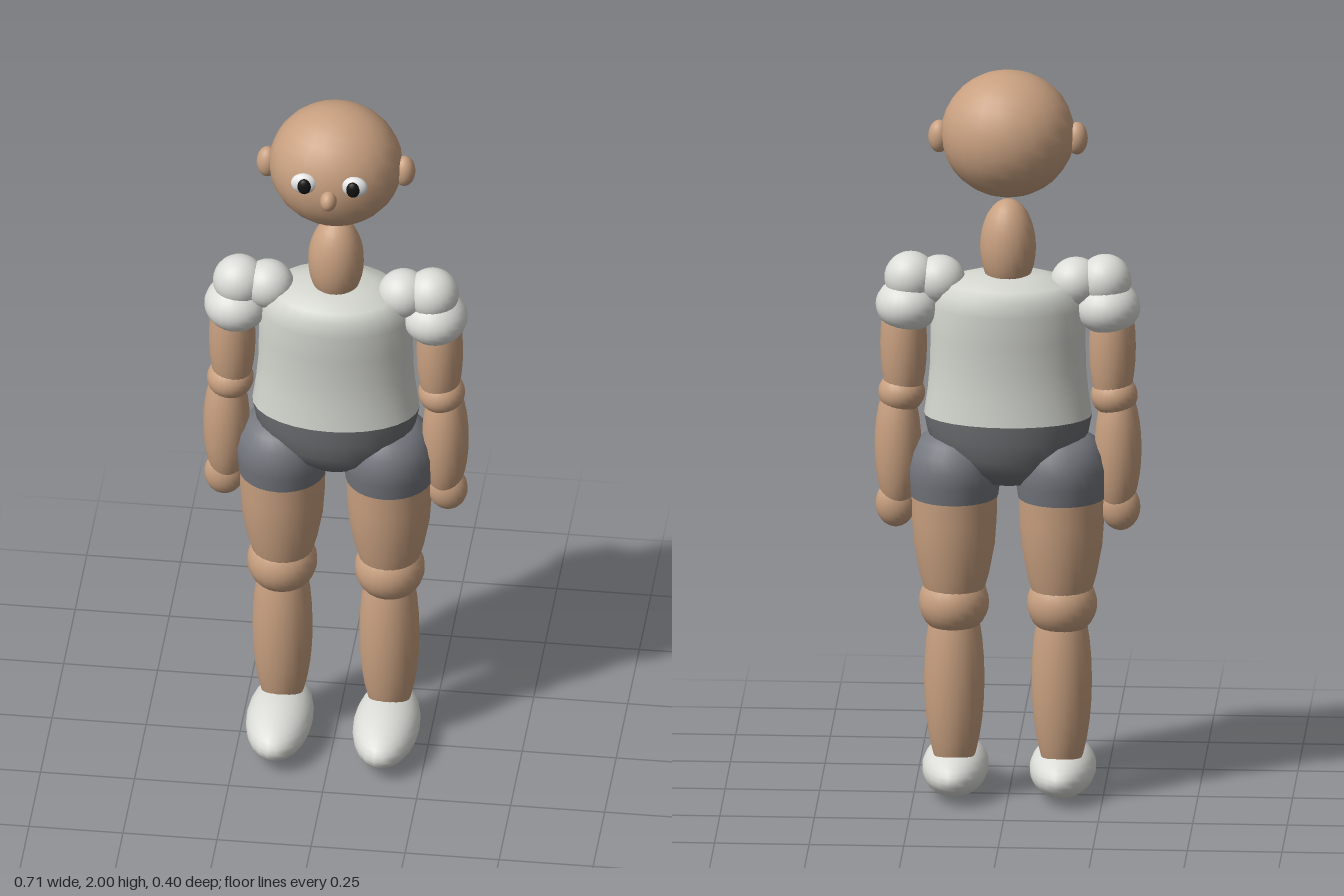
import * as THREE from 'three';
import { mergeVertices } from 'three/addons/utils/BufferGeometryUtils.js';

const paint = (name, color) => {
  const m = new THREE.MeshStandardMaterial({ color });
  m.name = name;
  return m;
};

const Z = -0.04; // depth of the body axis

export function createModel() {
  const skin = paint('skin', 0xc8a080);
  const shirt = paint('shirt', 0xd3d5ce);
  const white = paint('sleeve and shoe white', 0xdcdcd8);
  const shorts = paint('shorts grey', 0x75787f);
  const waist = paint('waist grey', 0x6e7073);
  const eyeWhite = paint('eye white', 0xeeeeee);
  const pupil = paint('pupil black', 0x121212);
  const model = new THREE.Group();
  model.name = 'mannequin';

  const add = (parent, name, geometry, material) => {
    const mesh = new THREE.Mesh(geometry, material);
    mesh.name = name;
    parent.add(mesh);
    return mesh;
  };

  // Ellipsoid from centre and radii
  const ball = (parent, name, material, [x, y, z], [rx, ry, rz]) => {
    const g = new THREE.SphereGeometry(1, 22, 16);
    g.scale(rx, ry, rz);
    g.translate(x, y, z);
    return add(parent, name, g, material);
  };

  // Stack of elliptical rings, bottom to top: [y, half width, half depth]
  const rings = (parent, name, material, rows, x = 0) => {
    const g = new THREE.LatheGeometry(rows.map(([y]) => new THREE.Vector2(1, y)), 28);
    const p = g.attributes.position;
    for (let i = 0; i < p.count; i++) {
      const [y, rx, rz] = rows[i % rows.length];
      p.setXYZ(i, p.getX(i) * rx + x, y, p.getZ(i) * rz + Z);
    }
    g.deleteAttribute('uv');
    g.deleteAttribute('normal');
    const merged = mergeVertices(g);
    merged.computeVertexNormals();
    return add(parent, name, merged, material);
  };

  // Torso and pelvis
  rings(model, 'shirt', shirt, [
    [1.06, 0.222, 0.143], [1.13, 0.212, 0.136], [1.2, 0.206, 0.133], [1.28, 0.205, 0.138],
    [1.36, 0.203, 0.143], [1.4, 0.19, 0.137], [1.425, 0.165, 0.122], [1.445, 0.1, 0.07], [1.455, 0, 0],
  ]);
  rings(model, 'pelvis', waist, [
    [0.876, 0, 0], [0.88, 0.08, 0.07], [0.92, 0.15, 0.112], [0.96, 0.187, 0.13],
    [1.01, 0.212, 0.14], [1.06, 0.222, 0.143],
  ]);

  // Head and neck
  ball(model, 'neck', skin, [0, 1.52, Z], [0.074, 0.13, 0.074]);
  const head = new THREE.Group();
  head.name = 'head';
  model.add(head);
  ball(head, 'skull', skin, [0, 1.83, Z], [0.177, 0.17, 0.162]);
  ball(head, 'nose', skin, [0, 1.82, 0.122], [0.022, 0.028, 0.028]);

  for (const s of [1, -1]) {
    const side = s > 0 ? 'left' : 'right';
    ball(head, side + 'Ear', skin, [s * 0.182, 1.82, Z], [0.029, 0.044, 0.031]);
    ball(head, side + 'Eye', eyeWhite, [s * 0.067, 1.86, 0.106], [0.035, 0.03, 0.019]);
    ball(head, side + 'Pupil', pupil, [s * 0.065, 1.86, 0.121], [0.018, 0.023, 0.012]);

    // Arm, from the collar down to the hand
    const arm = new THREE.Group();
    arm.name = side + 'Arm';
    model.add(arm);
    ball(arm, 'collarBall', white, [s * 0.18, 1.425, Z], [0.068, 0.066, 0.066]);
    ball(arm, 'shoulderBall', white, [s * 0.257, 1.43, Z], [0.07, 0.07, 0.068]);
    ball(arm, 'sleeve', white, [s * 0.264, 1.357, Z], [0.086, 0.072, 0.09]);
    ball(arm, 'upperArm', skin, [s * 0.276, 1.25, Z], [0.062, 0.2, 0.064]);
    ball(arm, 'elbow', skin, [s * 0.281, 1.115, Z], [0.062, 0.056, 0.064]);
    ball(arm, 'forearm', skin, [s * 0.291, 0.97, Z], [0.062, 0.19, 0.064]);
    ball(arm, 'hand', skin, [s * 0.297, 0.808, Z], [0.053, 0.064, 0.043]);

    // Leg, with the shorts as the top part of the thigh
    const leg = new THREE.Group();
    leg.name = side + 'Leg';
    model.add(leg);
    rings(leg, 'shortsLeg', shorts, [
      [0.835, 0.116, 0.117], [0.88, 0.122, 0.127], [0.92, 0.124, 0.131], [0.96, 0.114, 0.122],
      [0.99, 0.092, 0.1], [1.01, 0.063, 0.068], [1.022, 0, 0],
    ], s * 0.142);
    rings(leg, 'thigh', skin, [
      [0.52, 0.06, 0.06], [0.56, 0.075, 0.075], [0.62, 0.092, 0.092], [0.7, 0.107, 0.106],
      [0.77, 0.112, 0.112], [0.84, 0.114, 0.115],
    ], s * 0.142);
    ball(leg, 'knee', skin, [s * 0.143, 0.54, Z], [0.093, 0.09, 0.093]);
    ball(leg, 'calf', skin, [s * 0.142, 0.33, Z], [0.08, 0.29, 0.079]);
    ball(leg, 'shoe', white, [s * 0.142, 0.071, 0.02], [0.088, 0.071, 0.18]);
  }
  return model;
}
